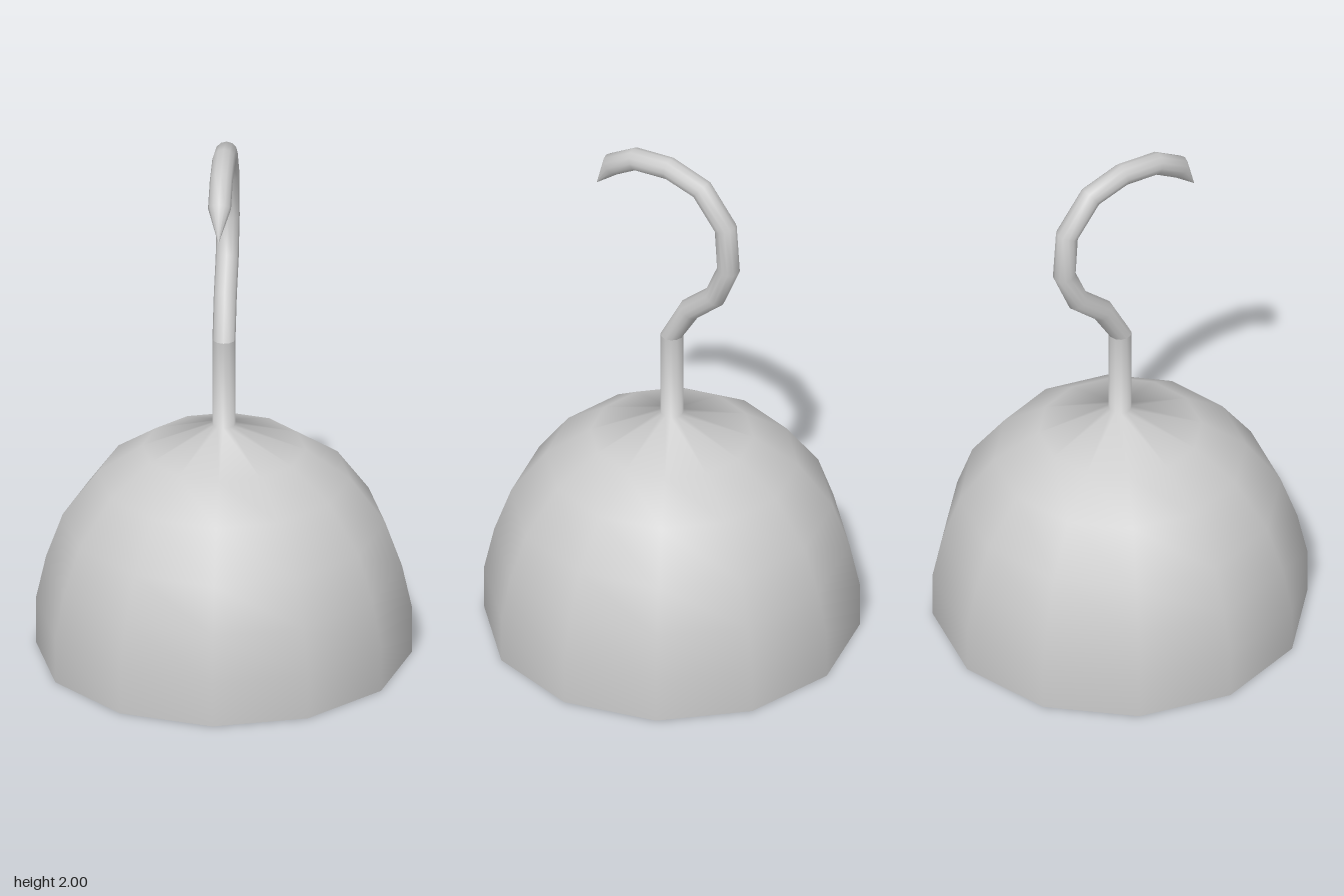
import * as THREE from 'three';

const SIDES = 12;
const RADIUS = 0.042;

// Round bar lofted along a path of [z, y] points; the last point closes to a sharp tip
function hookGeometry(path) {
  const pos = [], index = [];
  path.forEach(([z, y], i) => {
    const last = i === path.length - 1;
    const a = path[Math.max(i - 1, 0)], b = path[last ? i : i + 1];
    const t = i === 0 ? new THREE.Vector2(0, 1)
      : new THREE.Vector2(b[0] - a[0], b[1] - a[1]).normalize();
    const r = last ? 0 : RADIUS;
    for (let j = 0; j < SIDES; j++) {
      const ang = (j / SIDES) * Math.PI * 2;
      const s = r * Math.sin(ang);
      pos.push(r * Math.cos(ang), y + s * t.x, z - s * t.y);
      if (last) continue;
      const k = (j + 1) % SIDES, p = i * SIDES, q = p + SIDES;
      index.push(p + j, p + k, q + j);
      if (i < path.length - 2) index.push(p + k, q + k, q + j);
    }
  });
  const g = new THREE.BufferGeometry();
  g.setAttribute('position', new THREE.Float32BufferAttribute(pos, 3));
  g.setIndex(index);
  g.computeVertexNormals();
  return g;
}

export function createModel() {
  const group = new THREE.Group();
  const material = new THREE.MeshStandardMaterial({ color: 0xcccccc, side: THREE.DoubleSide });

  // Hollow cup, open at the bottom, running into the straight stem
  const profile = [
    [0.685, 0], [0.685, 0.175], [0.648, 0.344], [0.587, 0.515], [0.46, 0.688],
    [0.297, 0.8], [RADIUS, 0.895], [RADIUS, 1.235],
  ].map(([r, y]) => new THREE.Vector2(r, y));
  const cup = new THREE.Mesh(new THREE.LatheGeometry(profile, SIDES), material);
  cup.name = 'cupAndStem';
  group.add(cup);

  // Hook: bends back, arches over the top and ends in a point at the front
  const hook = new THREE.Mesh(hookGeometry([
    [0, 1.235], [-0.08, 1.376], [-0.19, 1.474], [-0.25, 1.615], [-0.238, 1.79],
    [-0.132, 1.92], [0.01, 1.958], [0.16, 1.942], [0.262, 1.88], [0.333, 1.772],
  ]), material);
  hook.name = 'hook';
  group.add(hook);

  return group;
}
